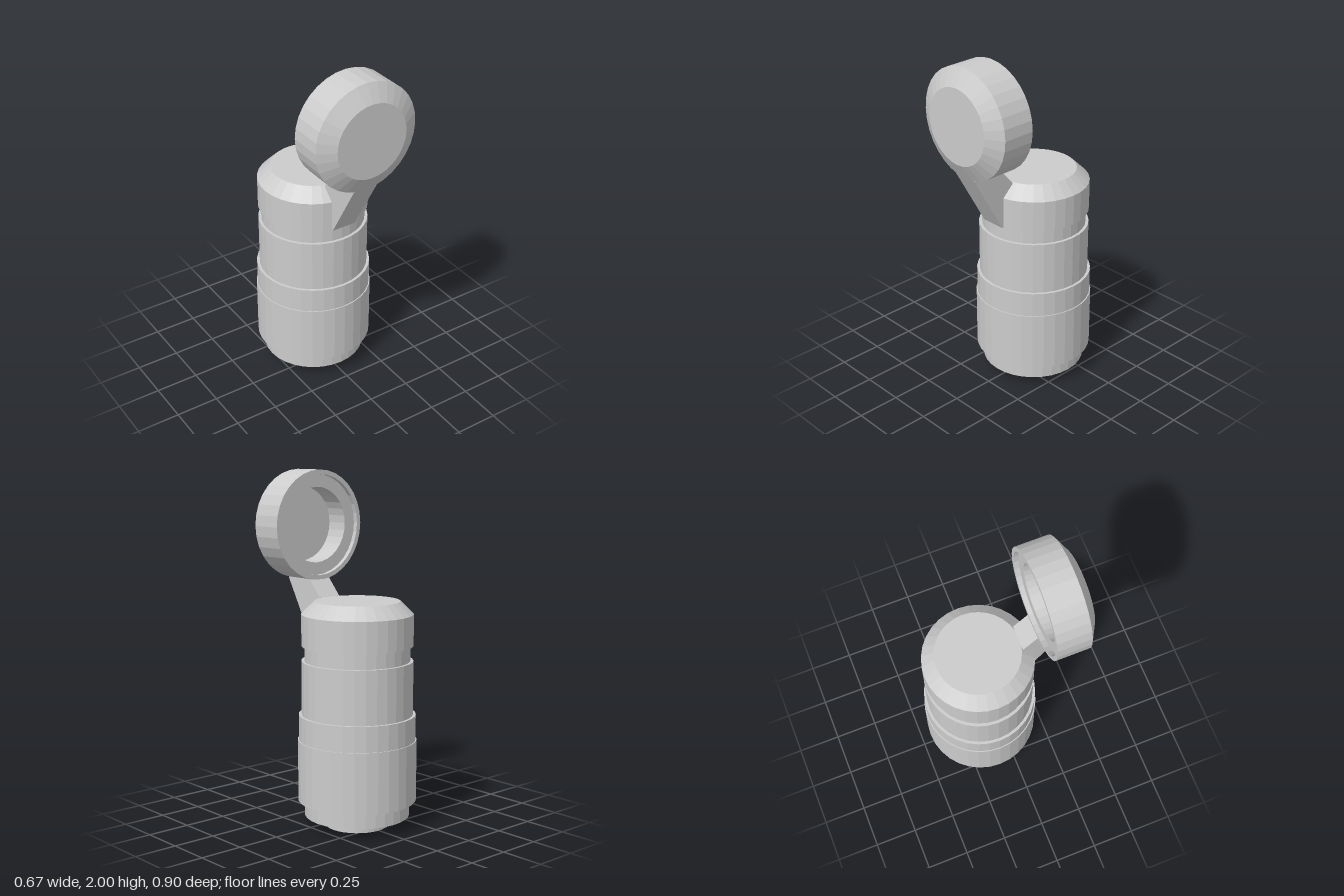
import * as THREE from 'three';

const SIDES = 32;
const BODY_Z = -0.115;
const material = new THREE.MeshStandardMaterial({ color: 0xcccccc, flatShading: true });

// Turned part from [radius, height] pairs
function turned(name, profile) {
  const points = profile.map(([r, y]) => new THREE.Vector2(r, y));
  const mesh = new THREE.Mesh(new THREE.LatheGeometry(points, SIDES), material);
  mesh.name = name;
  return mesh;
}

export function createModel() {
  const group = new THREE.Group();
  group.name = 'flipTopBottle';

  // Stepped body, closed at the base and the chamfered top
  const body = turned('body', [
    [0, 0], [0.183, 0], [0.183, 0.04],
    [0.225, 0.04], [0.225, 0.06],
    [0.298, 0.06], [0.298, 0.15],
    [0.336, 0.15], [0.336, 0.5],
    [0.33, 0.5], [0.33, 0.645],
    [0.314, 0.645], [0.314, 0.95],
    [0.297, 0.95], [0.297, 1.035],
    [0.314, 1.035], [0.314, 1.213],
    [0.24, 1.285], [0, 1.285],
  ]);
  body.position.z = BODY_Z;
  group.add(body);

  // Open lid: hollow towards the back, chamfered towards the front
  const lid = turned('lid', [
    [0, 0.365], [0.215, 0.365], [0.215, 0.23],
    [0.287, 0.23], [0.287, 0.203],
    [0.313, 0.203], [0.313, 0.395],
    [0.215, 0.45], [0, 0.45],
  ]);
  lid.geometry.rotateX(Math.PI / 2);
  lid.position.y = 1.687;
  group.add(lid);

  // Hinge arm: side profile in (z, y), extruded across x
  const profile = [[0.2, 1.035], [0.395, 1.38], [0.385, 1.39], [0.215, 1.39], [0.203, 1.377], [0.12, 1.285], [0.12, 1.035]];
  const shape = new THREE.Shape(profile.map(([z, y]) => new THREE.Vector2(z, y)));
  const armGeometry = new THREE.ExtrudeGeometry(shape, { depth: 0.146, bevelEnabled: false });
  armGeometry.rotateY(-Math.PI / 2).translate(0.073, 0, 0);
  const arm = new THREE.Mesh(armGeometry, material);
  arm.name = 'hingeArm';
  group.add(arm);

  return group;
}
